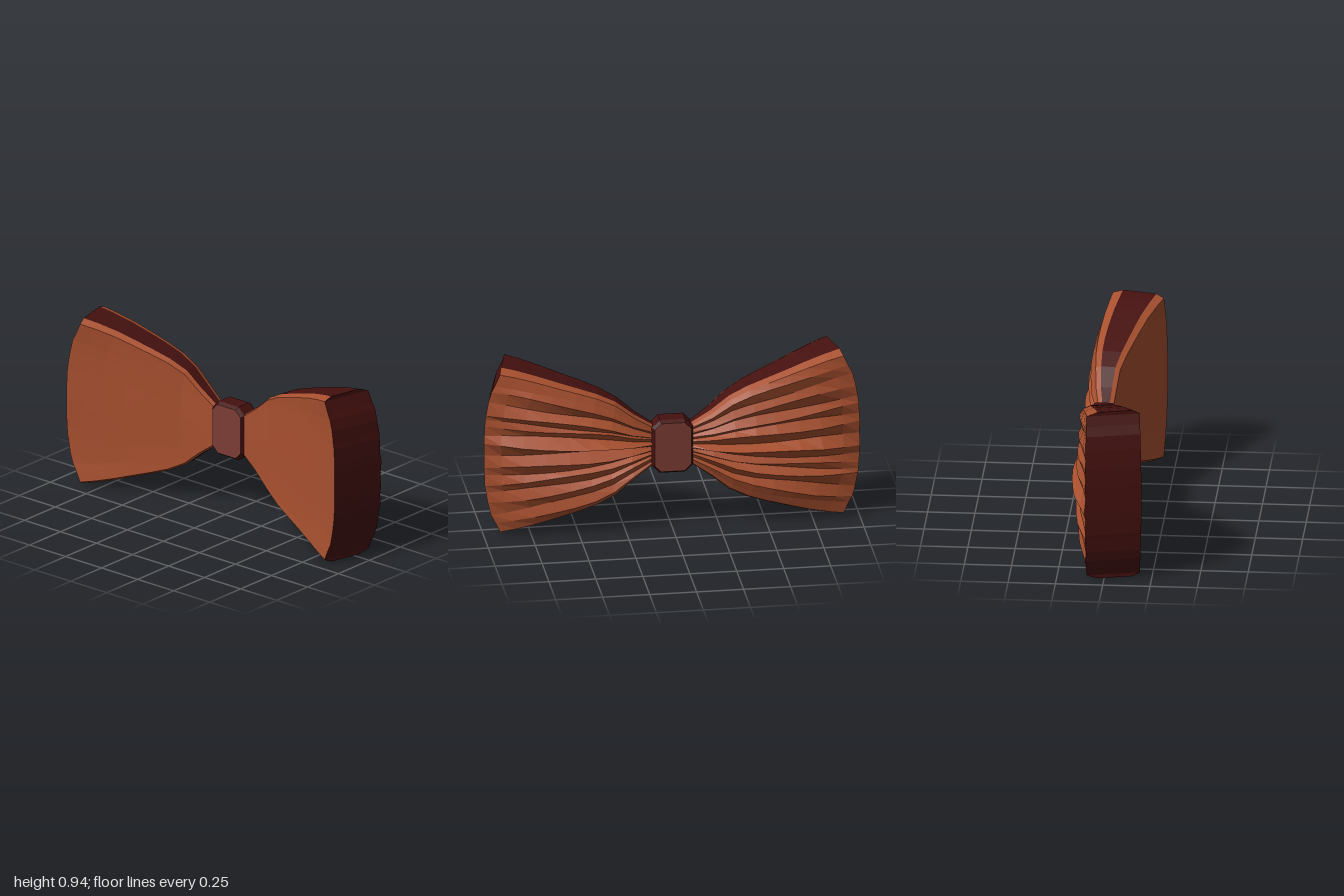
import * as THREE from 'three';

const fabric = new THREE.MeshStandardMaterial({ color: 0xa8502f, flatShading: true });
const dark = new THREE.MeshStandardMaterial({ color: 0x45110f, flatShading: true });
const knotMat = new THREE.MeshStandardMaterial({ color: 0x7c3d34, flatShading: true });

// Stations along the wing: [u, half height, front x, back x, pleat strength]
const stations = [
  [0, 0.10, 0.10, 0.03, 0.2],
  [0.15, 0.185, 0.125, 0.015, 0.85],
  [0.27, 0.265, 0.135, 0, 1],
  [0.39, 0.315, 0.14, -0.03, 1],
  [0.51, 0.35, 0.138, -0.06, 0.95],
  [0.64, 0.385, 0.13, -0.092, 0.9],
  [0.77, 0.42, 0.118, -0.127, 0.8],
  [0.9, 0.45, 0.102, -0.168, 0.45],
  [1, 0.468, 0.09, -0.2, 0.12],
];

// Pleats across the wing: [v, ridge height], alternating valley and ridge
const pleats = [
  [-1, 0], [-0.9, 0.022], [-0.76, 0.004], [-0.62, 0.026], [-0.5, 0], [-0.38, 0.03], [-0.28, 0],
  [-0.17, 0.035], [0, -0.004], [0.12, 0.06], [0.25, 0], [0.36, 0.02], [0.42, 0.004], [0.51, 0.04],
  [0.65, 0], [0.78, 0.028], [0.88, 0.012], [1, 0],
];

function mesh(name, positions, material) {
  const g = new THREE.BufferGeometry();
  g.setAttribute('position', new THREE.Float32BufferAttribute(positions, 3));
  g.computeVertexNormals();
  const m = new THREE.Mesh(g, material);
  m.name = name;
  return m;
}

function quad(out, a, b, c, d) {
  out.push(...a, ...b, ...c, ...a, ...c, ...d);
}

// One closed cross-section: pleated front going up, rim, flat back going down, rim
function section([u, h, xf, xb, strength]) {
  const drop = 0.02 * (0.5 + u * 0.5), c = 0.02 + 0.035 * u;
  const point = (x, y, v) => {
    const end = 1 - 0.085 * Math.abs(v) ** 3 - 0.07 * (xf - x) / (xf - xb);
    return [x, y, 0.08 + u * (end - 0.08)];
  };
  const front = [], back = [];
  pleats.forEach(([v, ridge], k) => {
    const wobble = Math.abs(v) < 1 ? 0.02 * Math.sin(6 * u + 2.3 * k) : 0;
    const y = (v + wobble) * (h - drop);
    front.push(point(xf + ridge * strength, y, v));
    back.push(point(xb + 0.015 * v * v * u, y, v));
  });
  return {
    front, back,
    top: [point(xf - c, h, 1), point(xb + c, h, 1)],
    bottom: [point(xb + c, -h, 1), point(xf - c, -h, 1)],
  };
}

function wing(name) {
  const cloth = [], rim = [], n = pleats.length;
  const sections = stations.map(section);
  const rings = sections.map((s) => [...s.front, ...s.top, ...[...s.back].reverse(), ...s.bottom]);
  const count = rings[0].length;
  for (let i = 0; i < rings.length - 1; i++) {
    for (let k = 0; k < count; k++) {
      const j = (k + 1) % count;
      // The flat top and bottom strips are dark; the chamfers match the cloth
      const isRim = k === n || k === 2 * n + 2;
      quad(isRim ? rim : cloth, rings[i][k], rings[i][j], rings[i + 1][j], rings[i + 1][k]);
    }
  }
  // Outer end face
  const { front, back, top, bottom } = sections[sections.length - 1];
  for (let k = 0; k < n - 1; k++) quad(rim, front[k], front[k + 1], back[k + 1], back[k]);
  quad(rim, front[n - 1], top[0], top[1], back[n - 1]);
  quad(rim, back[0], bottom[0], bottom[1], front[0]);

  const g = new THREE.Group();
  g.name = name;
  g.add(mesh('pleatedCloth', cloth, fabric), mesh('darkRim', rim, dark));
  g.position.y = 0.47;
  return g;
}

// Centre knot: chamfered block
function knot() {
  const w = 0.097, h = 0.137, c = 0.035;
  const shape = new THREE.Shape([
    [w, -h + c], [w, h - c], [w - c, h], [-w + c, h],
    [-w, h - c], [-w, -h + c], [-w + c, -h], [w - c, -h],
  ].map(([x, y]) => new THREE.Vector2(x, y)));
  const geometry = new THREE.ExtrudeGeometry(shape, {
    depth: 0.085, bevelEnabled: true, bevelSegments: 1, bevelSize: 0.013, bevelThickness: 0.02,
  });
  geometry.rotateY(Math.PI / 2);
  const m = new THREE.Mesh(geometry, [knotMat, dark]);
  m.name = 'knot';
  m.position.set(0.03, 0.47, 0);
  return m;
}

export function createModel() {
  const model = new THREE.Group();
  model.name = 'bowTie';
  const rearWing = wing('rearWing');
  rearWing.rotation.x = Math.PI;
  model.add(wing('frontWing'), rearWing, knot());
  return model;
}
